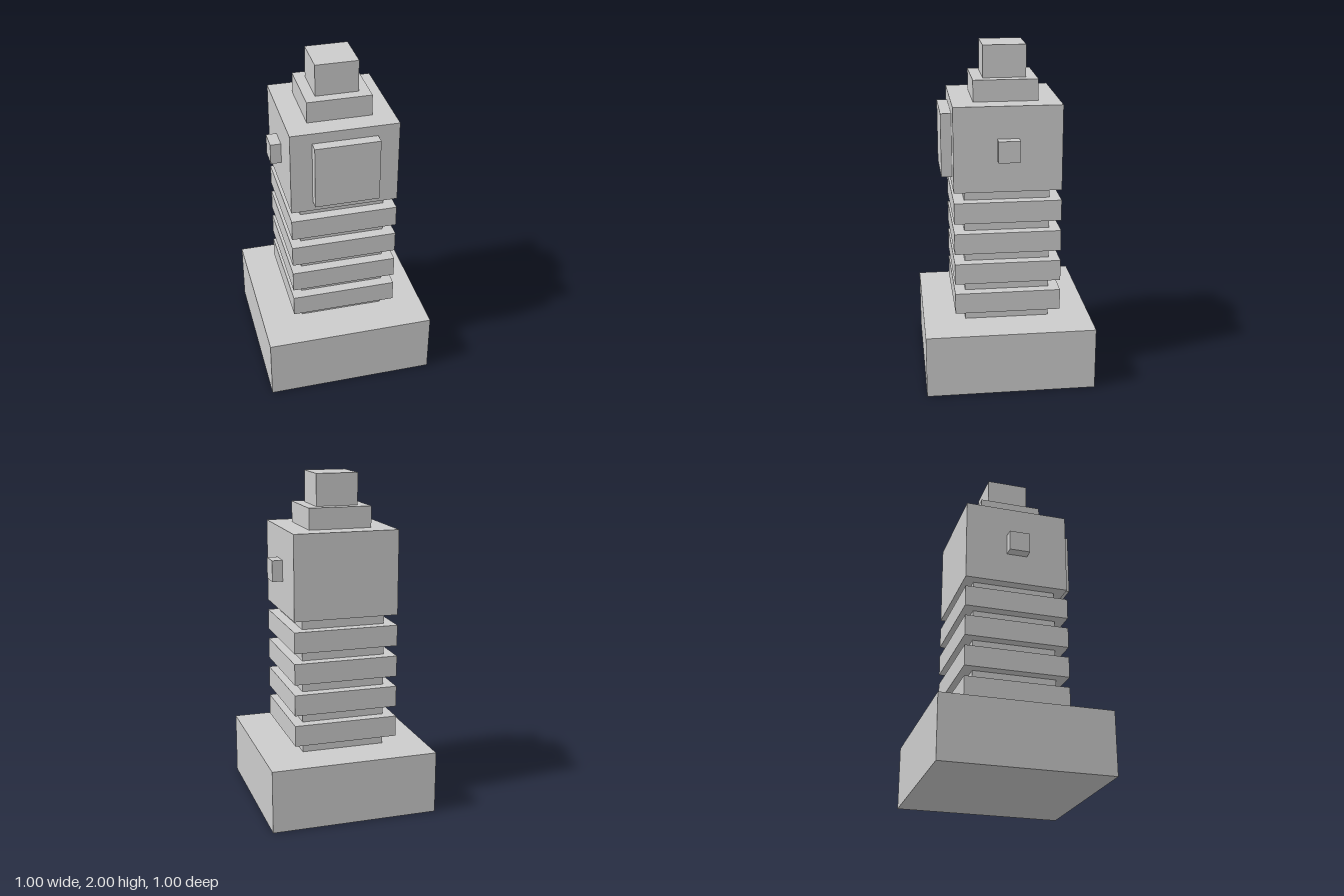
import * as THREE from 'three';

const U = 1 / 16; // every size is a whole number of sixteenths

export function createModel() {
  const model = new THREE.Group();
  model.name = 'steppedTower';
  const material = new THREE.MeshStandardMaterial({ color: 0xcccccc, flatShading: true });

  // Box standing on height y, centred on x and z
  function block(name, width, height, depth, y, x = 0, z = 0) {
    const mesh = new THREE.Mesh(new THREE.BoxGeometry(width * U, height * U, depth * U), material);
    mesh.name = name;
    mesh.position.set(x * U, (y + height / 2) * U, z * U);
    model.add(mesh);
  }

  // Plinth and ribbed column
  block('base', 16, 6, 16, 0);
  block('column', 8, 13, 8, 6);
  for (let i = 0; i < 4; i++) block(`rib${i + 1}`, 10, 2, 10, 7 + 3 * i);

  // Head with stepped cap
  block('head', 10, 8, 10, 19);
  block('capStep', 6, 2, 6, 27);
  block('capTop', 4, 3, 4, 29);

  // Raised front panel and side knobs
  block('frontPanel', 6, 6, 1, 20, 0, 5.5);
  block('leftKnob', 1, 2, 2, 22, 5.5);
  block('rightKnob', 1, 2, 2, 22, -5.5);

  return model;
}
